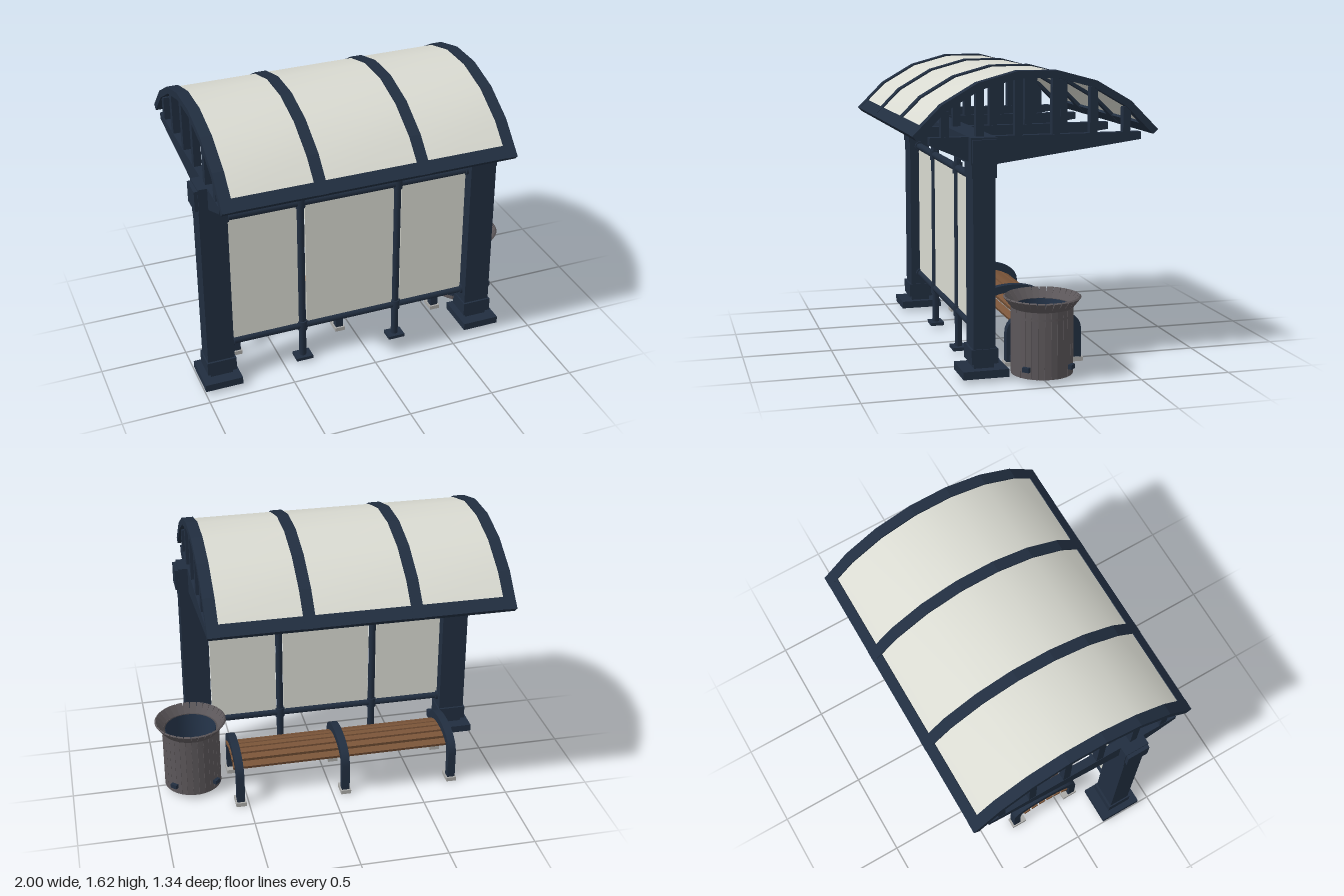
import * as THREE from 'three';
import { toCreasedNormals } from 'three/addons/utils/BufferGeometryUtils.js';

const mat = (name, color, side = THREE.FrontSide) => {
  const m = new THREE.MeshStandardMaterial({ color, side });
  m.name = name;
  return m;
};

export function createModel() {
  const model = new THREE.Group();
  model.name = 'busShelter';
  const navy = mat('navySteel', 0x212e40);
  const glass = mat('paleGlass', 0xd9dad1, THREE.DoubleSide);
  const grey = mat('binGrey', 0x5c575a);
  const wood = mat('benchWood', 0x7b5539);
  const silver = mat('footSilver', 0xa9a9a7);
  const white = mat('lampWhite', 0xe8e9e3);
  const liner = mat('linerNavy', 0x26364c, THREE.DoubleSide);

  const add = (name, geo, material, x = 0, y = 0, z = 0, parent = model) => {
    const m = new THREE.Mesh(geo, material);
    m.name = name;
    m.position.set(x, y, z);
    parent.add(m);
    return m;
  };
  // box given by its centre in x and z and its bottom and top
  const box = (name, material, x, z, w, d, y0, y1, parent = model) =>
    add(name, new THREE.BoxGeometry(w, y1 - y0, d), material, x, (y0 + y1) / 2, z, parent);
  // outline drawn in (z, y), extruded evenly about x = 0
  const slab = (shape, width) => {
    const g = new THREE.ExtrudeGeometry(shape, { depth: width, bevelEnabled: false, curveSegments: 6 });
    return g.translate(0, 0, -width / 2).rotateY(-Math.PI / 2);
  };
  const outline = pts => new THREE.Shape(pts.map(p => new THREE.Vector2(p[0], p[1])));
  const rod = (name, r, len, x, y, z, alongX) => {
    const g = new THREE.CylinderGeometry(r, r, len, 10);
    if (alongX) g.rotateZ(Math.PI / 2);
    return add(name, toCreasedNormals(g, 0.8), navy, x, y, z);
  };

  const MID = -0.0875, PZ = 0.303;
  const rafters = [-0.888, -0.377, 0.203, 0.712];

  // posts with stepped bases and capitals
  for (const s of [-1, 1]) {
    const post = new THREE.Group();
    post.name = s < 0 ? 'rightPost' : 'leftPost';
    model.add(post);
    const x = MID + s * 0.797;
    box('column', navy, x, PZ, 0.155, 0.12, 0.09, 1.16, post);
    box('capital', navy, x, PZ, 0.158, 0.132, 1.08, 1.16, post);
    box('sleeve', navy, x, PZ, 0.17, 0.145, 0.09, 0.17, post);
    box('neck', navy, x, PZ, 0.13, 0.11, 0.06, 0.095, post);
    box('plinth', navy, MID + s * 0.803, PZ, 0.218, 0.248, 0.02, 0.063, post);
  }

  // main beam
  box('beam', navy, MID, PZ, 1.75, 0.14, 1.15, 1.29);
  box('beamEnds', navy, MID, PZ, 1.79, 0.13, 1.16, 1.28);

  // tilted lamps along the beam
  for (const x of [-0.737, -0.534, -0.203, 0.0, 0.35, 0.555]) {
    const lamp = new THREE.Group();
    lamp.name = 'lamp';
    lamp.position.set(x, 1.15, 0.198);
    lamp.rotation.x = Math.PI / 4;
    add('housing', new THREE.BoxGeometry(0.11, 0.06, 0.11), navy, 0, 0.03, 0, lamp);
    add('lens', new THREE.CylinderGeometry(0.047, 0.047, 0.008, 20), white, 0, -0.002, 0, lamp);
    model.add(lamp);
  }

  // roof arch: seven equal facets of 15 degrees
  const CY = 0.786;
  const arch = (r0, r1, a = 52.5) => {
    const angles = [-a, -37.5, -22.5, -7.5, 7.5, 22.5, 37.5, a];
    const ring = r => angles.map(d => {
      const t = THREE.MathUtils.degToRad(d);
      return [Math.sin(t) * r, CY + Math.cos(t) * r];
    });
    return outline([...ring(r0), ...ring(r1).reverse()]);
  };
  const archGeo = slab(arch(0.846, 0.807), 0.064);
  const chordGeo = slab(outline([[0.58, 1.29], [0.58, 1.25], [0.37, 1.16], [0.23, 1.143],
    [-0.577, 1.25], [-0.577, 1.29]]), 0.046);
  for (const x of rafters) {
    const truss = new THREE.Group();
    truss.name = 'roofTruss';
    truss.position.x = x;
    model.add(truss);
    add('arch', archGeo, navy, 0, 0, 0, truss);
    add('bottomChord', chordGeo, navy, 0, 0, 0, truss);
    for (const s of [-1, 1]) for (const z of [0.102, 0.311, 0.497])
      box('strut', navy, 0, s * z, 0.042, 0.042, 1.27, CY + Math.sqrt(0.81 ** 2 - z * z), truss);
  }

  // roof sheets between the trusses
  for (let i = 0; i < 3; i++) {
    const w = rafters[i + 1] - rafters[i] - 0.05;
    add('roofSheet', toCreasedNormals(slab(arch(0.838, 0.824, 51), w), 0.5), glass,
      (rafters[i] + rafters[i + 1]) / 2);
  }

  // edge rails along both eaves
  for (const s of [-1, 1]) {
    const pts = [[0.67, 1.302], [0.618, 1.352], [0.594, 1.328], [0.646, 1.276]].map(p => [p[0] * s, p[1]]);
    add('eaveRail', slab(outline(pts), 1.66), navy, MID);
  }

  // glazed wall: rails, uprights, joints and panes
  for (const y of [1.055, 0.24]) {
    rod('wallRail', 0.022, 1.5, MID, y, PZ, true);
    for (const x of [-0.803, 0.63]) rod('railSocket', 0.031, 0.025, x, y, PZ, true);
    for (const x of [rafters[1], rafters[2]]) rod('railJoint', 0.029, 0.06, x, y, PZ);
  }
  for (const x of [rafters[1], rafters[2]]) {
    rod('upright', 0.021, 1.14, x, 0.6, PZ);
    box('uprightFoot', navy, x, PZ, 0.1, 0.08, 0.014, 0.033);
  }
  for (const [x0, x1] of [[-0.802, -0.4], [-0.352, 0.18], [0.226, 0.622]])
    box('pane', glass, (x0 + x1) / 2, PZ, x1 - x0, 0.012, 0.25, 1.045);

  // bench: three hoops with slats beneath them
  const bench = new THREE.Group();
  bench.name = 'bench';
  bench.position.z = -0.092;
  model.add(bench);
  const hoop = new THREE.Shape();
  hoop.moveTo(-0.215, 0.015);
  hoop.lineTo(-0.215, 0.18);
  hoop.quadraticCurveTo(-0.215, 0.27, -0.09, 0.297);
  hoop.quadraticCurveTo(0, 0.315, 0.09, 0.297);
  hoop.quadraticCurveTo(0.215, 0.27, 0.215, 0.18);
  hoop.lineTo(0.215, 0.015);
  hoop.lineTo(0.172, 0.015);
  hoop.lineTo(0.172, 0.175);
  hoop.quadraticCurveTo(0.172, 0.23, 0.08, 0.253);
  hoop.quadraticCurveTo(0, 0.268, -0.08, 0.253);
  hoop.quadraticCurveTo(-0.172, 0.23, -0.172, 0.175);
  hoop.lineTo(-0.172, 0.015);
  const hoopGeo = toCreasedNormals(slab(hoop, 0.046), 0.6);
  for (const x of [-0.722, -0.076, 0.548]) {
    add('hoop', hoopGeo, navy, x, 0, 0, bench);
    for (const s of [-1, 1]) box('hoopFoot', silver, x, s * 0.18, 0.06, 0.092, 0, 0.024, bench);
  }
  for (let i = 0; i < 6; i++) {
    const u = -0.13 + i * 0.052;
    const slat = add('slat', new THREE.BoxGeometry(1.33, 0.02, 0.04), wood, -0.087, 0.25 - 1.6 * u * u, u, bench);
    slat.rotation.x = Math.atan(3.2 * u);
  }

  // litter bin: ring of staves with flared tips around a liner
  const bin = new THREE.Group();
  bin.name = 'litterBin';
  bin.position.set(0.79, 0, -0.012);
  model.add(bin);
  const N = 30;
  for (let i = 0; i < N; i++) {
    const stave = new THREE.Group();
    stave.name = 'stave';
    stave.rotation.y = (i / N) * Math.PI * 2;
    bin.add(stave);
    box('staveBody', grey, 0, 0.161, 0.0335, 0.01, 0.025, 0.39, stave);
    const tip = add('staveTip', new THREE.BoxGeometry(0.037, 0.068, 0.01), grey, 0, 0.414, 0.182, stave);
    tip.rotation.x = 0.66;
  }
  const cyl = (r, h) => new THREE.CylinderGeometry(r, r, h, N, 1, true);
  add('innerBand', cyl(0.156, 0.35), grey, 0, 0.205, 0, bin);
  add('hoopBand', cyl(0.168, 0.012), grey, 0, 0.345, 0, bin);
  add('binBase', new THREE.CylinderGeometry(0.158, 0.158, 0.02, N), grey, 0, 0.035, 0, bin);
  add('liner', cyl(0.148, 0.33), liner, 0, 0.225, 0, bin);
  add('linerFloor', new THREE.CylinderGeometry(0.148, 0.148, 0.01, N), liner, 0, 0.2, 0, bin);
  for (let i = 0; i < 4; i++) {
    const a = Math.PI / 4 + i * Math.PI / 2;
    const tab = box('anchorTab', navy, Math.sin(a) * 0.172, Math.cos(a) * 0.172, 0.04, 0.03, 0.065, 0.09, bin);
    tab.rotation.y = a;
  }
  return model;
}
